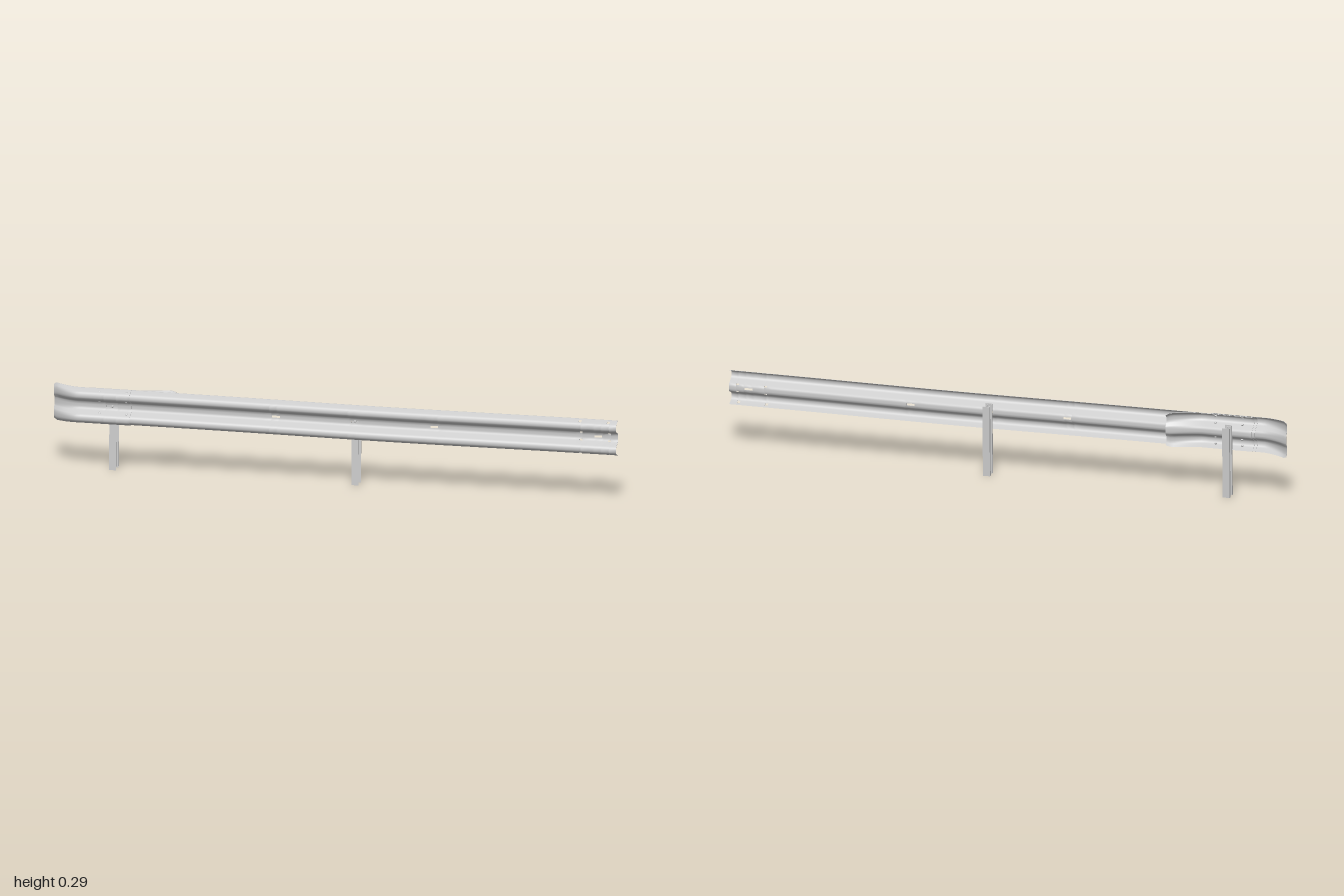
import * as THREE from 'three';

const steel = new THREE.MeshStandardMaterial({ color: 0xcccccc, side: THREE.DoubleSide });
const MID_Y = 0.227, GAUGE = 0.003;

// Upper half of the W-shaped section: [height above the centre, depth]
const HALF = [[0.004, 0], [0.011, 0.001], [0.016, 0.006], [0.025, 0.026], [0.030, 0.032], [0.036, 0.0345],
  [0.044, 0.0345], [0.050, 0.031], [0.054, 0.025], [0.059, 0.012], [0.062, 0.004]];
const SECTION = [...HALF.map(([y, z]) => [-y, z]).reverse(), ...HALF];
const SLOT_ROW = [10], BOLT_ROWS = [1, 8, 12, 19];

const clamp01 = (t) => Math.min(1, Math.max(0, t));
const sag = (x) => -0.003 * Math.exp(-(((x - 0.2) / 0.45) ** 2));

// Pressed sheet swept along x; place(x, y, z) bends it, holes are {x, half, rows}
function sheet(name, x0, x1, place, holes = []) {
  const xs = [];
  const steps = Math.max(24, Math.round((x1 - x0) * 40));
  for (let i = 0; i <= steps; i++) xs.push(x0 + ((x1 - x0) * i) / steps);
  for (const h of holes) xs.push(h.x - h.half, h.x + h.half);
  xs.sort((a, b) => a - b);
  const rows = SECTION.length, pos = [], index = [];
  const count = xs.length * rows;
  for (const back of [0, 1]) {
    for (const x of xs) for (const [y, z] of SECTION) {
      const p = place(x, y, z);
      pos.push(x, MID_Y + p[0], p[1] - back * GAUGE);
    }
  }
  const solid = (i, j) => {
    if (i < 0 || j < 0 || i >= xs.length - 1 || j >= rows - 1) return false;
    const mid = (xs[i] + xs[i + 1]) / 2;
    return !holes.some((h) => Math.abs(mid - h.x) < h.half && h.rows.includes(j));
  };
  const id = (i, j) => i * rows + j;
  // Edge walls get their own vertices so the rim stays crisp
  const wall = (a, b) => {
    const n = pos.length / 3;
    for (const v of [a, b, b + count, a + count]) pos.push(pos[v * 3], pos[v * 3 + 1], pos[v * 3 + 2]);
    index.push(n, n + 2, n + 1, n, n + 3, n + 2);
  };
  for (let i = 0; i < xs.length - 1; i++) for (let j = 0; j < rows - 1; j++) {
    if (!solid(i, j)) continue;
    const a = id(i, j), b = id(i + 1, j), c = id(i + 1, j + 1), d = id(i, j + 1);
    index.push(a, b, c, a, c, d);
    index.push(a + count, c + count, b + count, a + count, d + count, c + count);
    if (!solid(i, j - 1)) wall(a, b);
    if (!solid(i + 1, j)) wall(b, c);
    if (!solid(i, j + 1)) wall(c, d);
    if (!solid(i - 1, j)) wall(d, a);
  }
  const geo = new THREE.BufferGeometry();
  geo.setAttribute('position', new THREE.Float32BufferAttribute(pos, 3));
  geo.setIndex(index);
  geo.computeVertexNormals();
  const mesh = new THREE.Mesh(geo, steel);
  mesh.name = name;
  return mesh;
}

// Sigma-section post, leaning very slightly backward
function post(x) {
  const line = [[0.013, 0], [-0.011, 0], [-0.011, -0.008], [0.001, -0.014], [0.001, -0.025],
    [-0.011, -0.031], [-0.011, -0.039], [0.013, -0.039]].map(([a, b]) => new THREE.Vector2(a, -b));
  const side = (s) => line.map((p, i) => {
    const d1 = p.clone().sub(line[Math.max(0, i - 1)]).normalize();
    const d2 = line[Math.min(line.length - 1, i + 1)].clone().sub(p).normalize();
    const d = d1.add(d2).normalize();
    return new THREE.Vector2(p.x - d.y * s, p.y + d.x * s);
  });
  const shape = new THREE.Shape([...side(0.0015), ...side(-0.0015).reverse()]);
  const geo = new THREE.ExtrudeGeometry(shape, { depth: 0.255, bevelEnabled: false });
  geo.rotateX(-Math.PI / 2);
  const p = geo.attributes.position;
  for (let i = 0; i < p.count; i++) p.setZ(i, p.getZ(i) + 0.006 - 0.034 * p.getY(i));
  geo.computeVertexNormals();
  const mesh = new THREE.Mesh(geo, steel);
  mesh.name = 'post';
  mesh.position.x = x;
  return mesh;
}

// Domed bolt head in front with a hex nut behind; tilt follows the sheet slope
function bolt(x, y, z, tilt, reach) {
  const g = new THREE.Group();
  g.name = 'bolt';
  const head = new THREE.Mesh(new THREE.SphereGeometry(0.0045, 12, 8), steel);
  head.name = 'boltHead';
  head.scale.z = 0.5;
  const nut = new THREE.Mesh(new THREE.CylinderGeometry(0.0045, 0.0045, 0.004, 6), steel);
  nut.name = 'nut';
  nut.rotation.x = Math.PI / 2;
  nut.position.z = -reach;
  g.add(head, nut);
  g.position.set(x, MID_Y + y, z);
  g.rotation.x = tilt;
  return g;
}

export function createModel() {
  const model = new THREE.Group();
  model.name = 'guardRail';

  // Main rail with its centre slots and the open splice holes at the far end
  const slots = [-0.21, 0.07, 0.35, 0.93].map((x) => ({ x, half: 0.014, rows: SLOT_ROW }));
  const spliceHoles = [0.87, 0.97].map((x) => ({ x, half: 0.005, rows: BOLT_ROWS }));
  model.add(sheet('rail', -0.88, 1, (x, y, z) => [y + sag(x), z], [...slots, ...spliceHoles]));

  // Front end piece, lapped over the rail and curling back while flattening
  model.add(sheet('endPiece', -1, -0.72, (x, y, z) => {
    const t = clamp01((-0.91 - x) / 0.09);
    const corner = clamp01((t - 0.85) / 0.15) ** 2;
    return [y * (1.02 + 0.06 * t - 0.08 * corner), 0.0032 + z * (1 - 0.7 * t) - 0.0312 * t ** 1.8];
  }, [{ x: -0.79, half: 0.02, rows: SLOT_ROW }]));

  // Rear end piece, nested behind the rail and flaring away from it
  model.add(sheet('rearFlare', -0.87, -0.57, (x, y, z) => {
    const t = clamp01((x + 0.69) / 0.12);
    const corner = clamp01((t - 0.8) / 0.2) ** 2;
    return [y * (1 - 0.12 * corner), -0.0032 + z * (1 - 0.65 * t) - 0.03 * t ** 1.4];
  }));

  // Splice bolts through the overlapping sheets
  for (const x of [-0.83, -0.735]) for (const s of [-1, 1]) {
    model.add(bolt(x, s * 0.0205, 0.0195, s * 1.0, 0.008));
    model.add(bolt(x, s * 0.0565, 0.0225, -s * 1.0, 0.008));
  }

  // Posts, each with a bolt through the valley of the rail
  for (const x of [-0.787, 0.07]) {
    model.add(post(x));
    model.add(bolt(x, 0, x < 0 ? 0.004 : 0.001, 0, 0.009));
  }
  return model;
}
